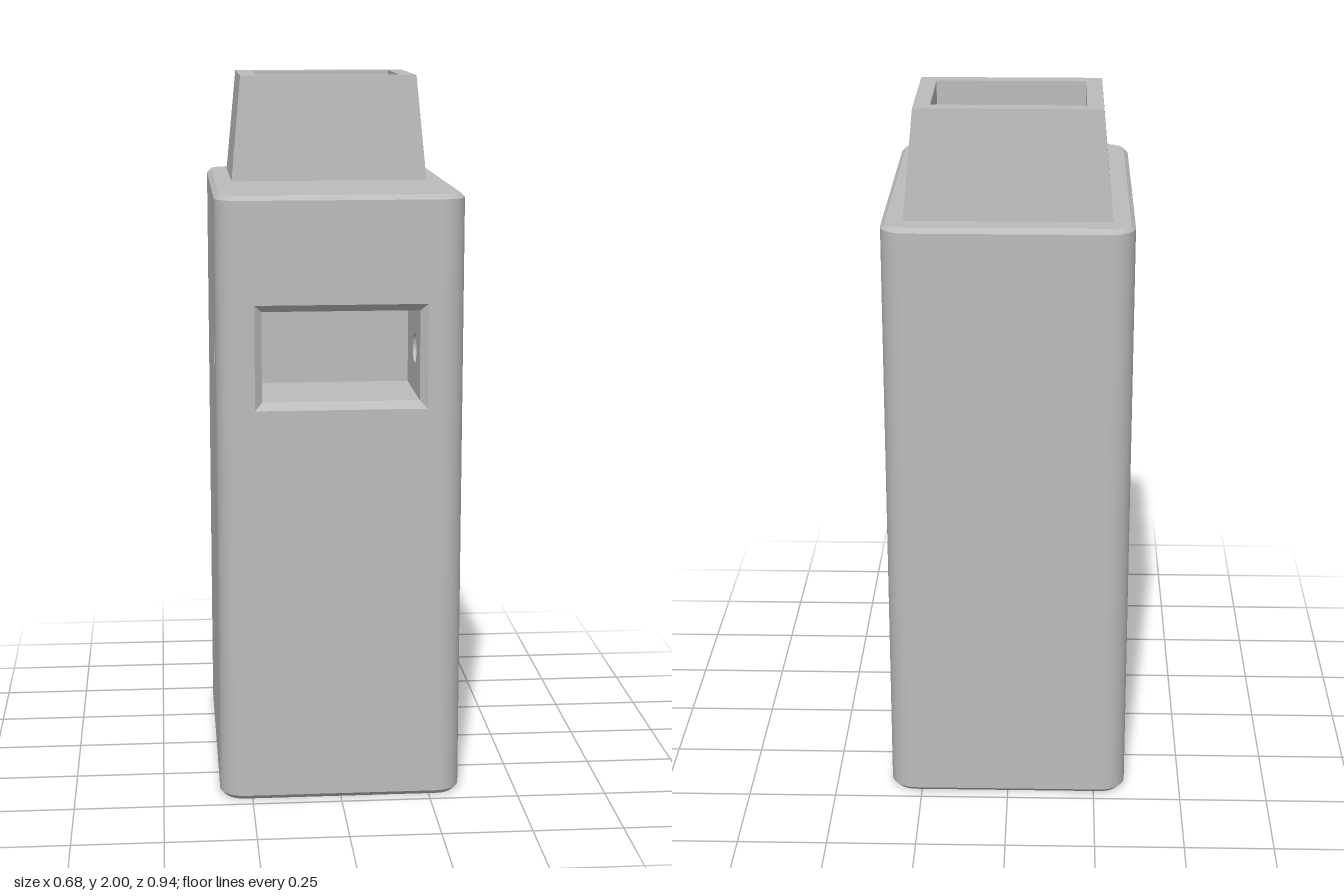
import * as THREE from 'three';
import { toCreasedNormals } from 'three/addons/utils/BufferGeometryUtils.js';

// Main sizes
const HX = 0.34, HZ = 0.472, TOP = 1.703, R = 0.07, CH = 0.013;
const BOLT_Z = 0.326, BOLT_Y = 1.263, BOLT_R = 0.042, HEX_R = 0.0745, HEX_X = 0.28;
const WIN = { x: 0.216, y0: 1.139, y1: 1.388, z0: 0.165, z1: 0.452, bevel: 0.02 };

// Each part is drawn in local XY, facing local +Z, then turned to face one way
const turn = {
  front: g => g,
  back: g => g.rotateY(Math.PI),
  right: g => g.rotateY(Math.PI / 2),   // faces +x, local x = -z
  left: g => g.rotateY(-Math.PI / 2),   // faces -x, local x = +z
  up: g => g.rotateX(-Math.PI / 2),     // faces +y, local y = -z
  down: g => g.rotateX(Math.PI / 2),    // faces -y, local y = +z
};

// Counter-clockwise outlines
const rect = (x0, y0, x1, y1) =>
  [[x1, y1], [x0, y1], [x0, y0], [x1, y0]].map(p => new THREE.Vector2(...p));

function polygon(cx, cy, r, n) {
  return Array.from({ length: n }, (_, i) => {
    const a = Math.PI / 2 + (i / n) * Math.PI * 2;
    return new THREE.Vector2(cx + r * Math.cos(a), cy + r * Math.sin(a));
  });
}

function roundedRect(hx, hy, r, seg = 8) {
  const pts = [];
  [[1, 1], [-1, 1], [-1, -1], [1, -1]].forEach(([sx, sy], q) => {
    for (let i = 0; i <= seg; i++) {
      const a = (q + i / seg) * Math.PI / 2;
      pts.push(new THREE.Vector2(sx * (hx - r) + r * Math.cos(a), sy * (hy - r) + r * Math.sin(a)));
    }
  });
  return pts;
}

// Flat face with optional holes
function panel(outline, depth, holes = []) {
  const shape = new THREE.Shape(outline);
  holes.forEach(h => shape.holes.push(new THREE.Path(h)));
  return new THREE.ShapeGeometry(shape).translate(0, 0, depth);
}

// Skin between outlines; rising depth faces outward, falling depth faces inward
function loft(sections) {
  const pos = [];
  for (let s = 0; s + 1 < sections.length; s++) {
    const [a, za] = sections[s], [b, zb] = sections[s + 1];
    a.forEach((p, i) => {
      const j = (i + 1) % a.length;
      const A = [p.x, p.y, za], B = [a[j].x, a[j].y, za];
      const C = [b[j].x, b[j].y, zb], D = [b[i].x, b[i].y, zb];
      pos.push(...A, ...B, ...C, ...A, ...C, ...D);
    });
  }
  const g = new THREE.BufferGeometry();
  g.setAttribute('position', new THREE.Float32BufferAttribute(pos, 3));
  return toCreasedNormals(g, 0.5);
}

export function createModel() {
  const model = new THREE.Group();
  model.name = 'housing';
  const grey = new THREE.MeshStandardMaterial({ color: 0xbcbcbc });
  grey.name = 'plainGrey';

  const group = name => {
    const g = new THREE.Group();
    g.name = name;
    model.add(g);
    return g;
  };
  const add = (parent, name, geo, facing) => {
    const m = new THREE.Mesh(turn[facing](geo), grey);
    m.name = name;
    parent.add(m);
  };

  // Shared outlines
  const outline = roundedRect(HX, HZ, R);
  const inset = roundedRect(HX - CH, HZ - CH, R - CH);
  const shaft = rect(-0.207, 0.026, 0.207, 0.322);
  const shaftBelow = rect(-0.207, -0.322, 0.207, -0.026);
  const funnelBase = rect(-0.28, -0.048, 0.28, 0.395);
  const funnelTop = rect(-0.252, -0.02, 0.252, 0.367);
  const winInner = rect(-WIN.x, WIN.y0, WIN.x, WIN.y1);
  const b = WIN.bevel;
  const winOuter = rect(-WIN.x - b, WIN.y0 - b, WIN.x + b, WIN.y1 + b);
  const boltHole = s => polygon(s * BOLT_Z, BOLT_Y, BOLT_R, 32);
  const hex = polygon(-BOLT_Z, BOLT_Y, HEX_R, 6);

  // Outer body walls
  const body = group('body');
  const y0 = CH, y1 = TOP - CH;
  const face = half => rect(-half + R, y0, half - R, y1);
  add(body, 'frontWall', panel(face(HX), HZ, [winOuter]), 'front');
  add(body, 'backWall', panel(face(HX), HZ), 'back');
  add(body, 'nutSideWall', panel(face(HZ), HX, [hex]), 'right');
  add(body, 'boltSideWall', panel(face(HZ), HX, [boltHole(1)]), 'left');
  [[1, 1], [1, -1], [-1, -1], [-1, 1]].forEach(([sx, sz], q) => {
    const g = new THREE.CylinderGeometry(R, R, y1 - y0, 8, 1, true, q * Math.PI / 2, Math.PI / 2);
    add(body, 'roundedCorner', g.translate(sx * (HX - R), (y0 + y1) / 2, sz * (HZ - R)), 'front');
  });
  add(body, 'topChamfer', loft([[outline, y1], [inset, TOP]]), 'up');
  add(body, 'bottomChamfer', loft([[inset, 0], [outline, y0]]), 'up');
  add(body, 'topFace', panel(inset, TOP, [funnelBase]), 'up');
  add(body, 'bottomFace', panel(inset, 0, [shaftBelow]), 'down');

  // Tapered funnel and the straight shaft through the body
  const funnel = group('funnel');
  add(funnel, 'funnelSides', loft([[funnelBase, TOP], [funnelTop, 2]]), 'up');
  add(funnel, 'funnelRim', panel(funnelTop, 2, [shaft]), 'up');
  add(funnel, 'shaftWalls', loft([[shaft, 2], [shaft, 0]]), 'up');

  // Front window pocket
  const win = group('windowPocket');
  add(win, 'windowBevel', loft([[winOuter, HZ], [winInner, WIN.z1]]), 'front');
  add(win, 'pocketBack', panel(winInner, WIN.z0), 'front');
  add(win, 'pocketFloor', panel(rect(-WIN.x, -WIN.z1, WIN.x, -WIN.z0), WIN.y0), 'up');
  add(win, 'pocketCeiling', panel(rect(-WIN.x, WIN.z0, WIN.x, WIN.z1), -WIN.y1), 'down');
  add(win, 'pocketNutSide', panel(rect(WIN.z0, WIN.y0, WIN.z1, WIN.y1), -WIN.x, [boltHole(1)]), 'left');
  add(win, 'pocketBoltSide', panel(rect(-WIN.z1, WIN.y0, -WIN.z0, WIN.y1), -WIN.x, [boltHole(-1)]), 'right');

  // Cross bolt hole with a hexagonal nut recess on one side
  const bolt = group('boltHole');
  add(bolt, 'nutRecess', loft([[hex, HX], [hex, HEX_X]]), 'right');
  add(bolt, 'nutSeat', panel(hex, HEX_X, [boltHole(-1)]), 'right');
  add(bolt, 'nutSideBore', loft([[boltHole(-1), HEX_X], [boltHole(-1), WIN.x]]), 'right');
  add(bolt, 'boltSideBore', loft([[boltHole(1), HX], [boltHole(1), WIN.x]]), 'left');

  return model;
}
